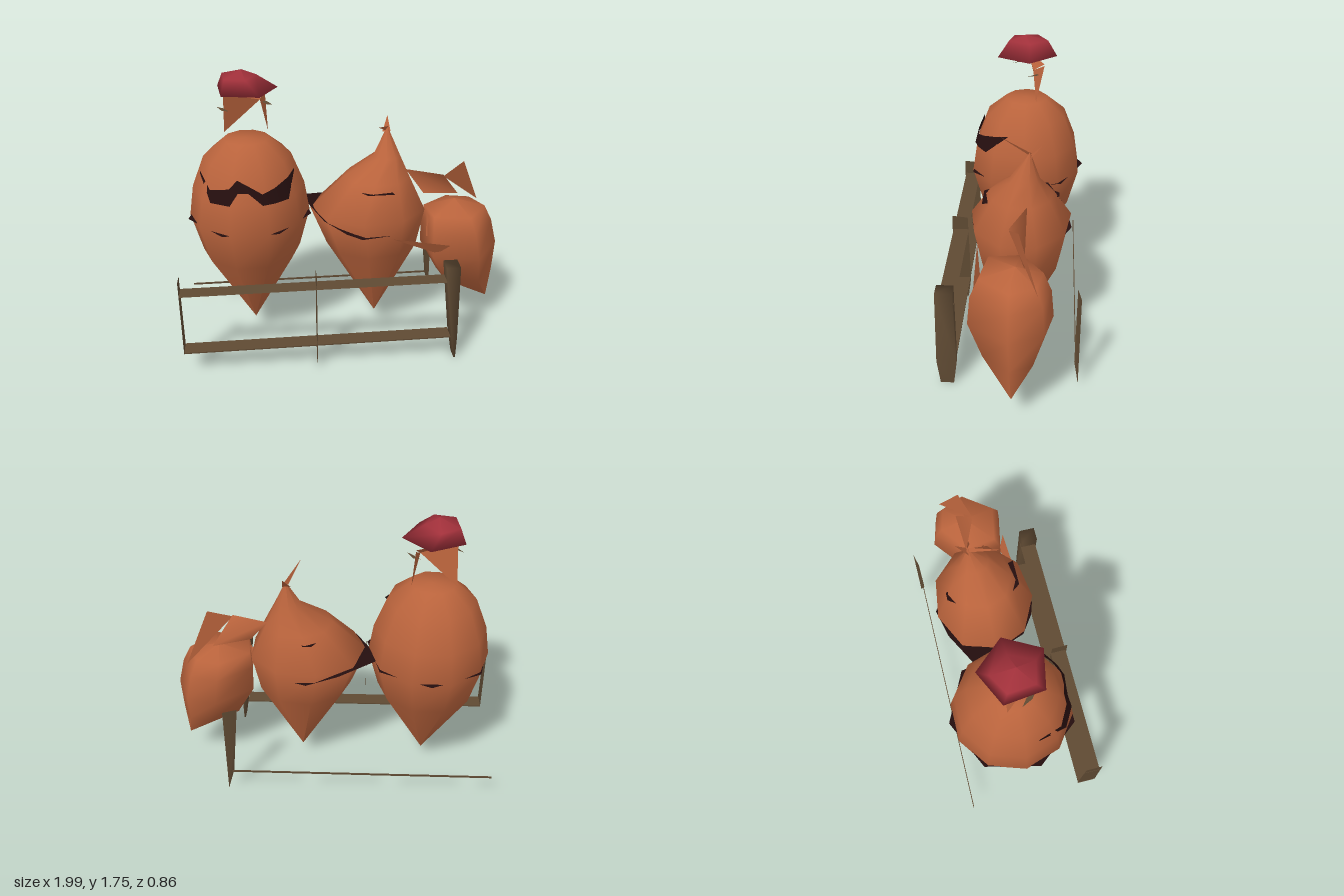
import * as THREE from 'three';

const mat = (name, color) => {
  const m = new THREE.MeshStandardMaterial({ color, side: THREE.DoubleSide });
  m.name = name;
  return m;
};

// Unit outline with n corners
const regular = (n, turn = 0) => Array.from({ length: n }, (_, j) => {
  const t = (j / n) * Math.PI * 2 + turn;
  return [Math.cos(t), Math.sin(t)];
});

export function createModel() {
  const model = new THREE.Group();
  const orange = mat('orange feathers', 0xb9633c);
  const dark = mat('dark trim', 0x240e0e);
  const wood = mat('wood', 0x5f4a33);
  const red = mat('red hat', 0xa0303a);

  const add = (parent, name, pos, index, material) => {
    const g = new THREE.BufferGeometry();
    g.setAttribute('position', new THREE.Float32BufferAttribute(pos, 3));
    g.setIndex(index);
    g.computeVertexNormals();
    const mesh = new THREE.Mesh(g, material);
    mesh.name = name;
    parent.add(mesh);
  };

  // Smooth closed form: an outline scaled along rows [y, cx, cz, rx, rz], bottom to top
  const loft = (parent, name, rows, outline, material) => {
    const pos = [], index = [], n = outline.length;
    rows.forEach(([y, cx, cz, rx, rz], i) => {
      outline.forEach(([ox, oz], j) => {
        pos.push(cx + rx * ox, y, cz + rz * oz);
        if (i === rows.length - 1) return;
        const a = i * n + j, b = i * n + (j + 1) % n;
        index.push(a, a + n, b, b, a + n, b + n);
      });
    });
    add(parent, name, pos, index, material);
  };

  // Thin sheet: convex outline of [x, y, z] points, fanned from the first
  const sheet = (parent, name, pts, material) => {
    const index = [];
    for (let i = 1; i < pts.length - 1; i++) index.push(0, i, i + 1);
    add(parent, name, pts.flat(), index, material);
  };

  const group = (name) => {
    const g = new THREE.Group();
    g.name = name;
    model.add(g);
    return g;
  };

  // Bird with the hat
  const first = group('hatBird');
  const profile = [[0.1, 0], [0.62, 0.3], [0.86, 0.365], [1.05, 0.335], [1.24, 0.26], [1.345, 0.135]];
  loft(first, 'body', [...profile.map(([y, r]) => [y, -0.57, -0.055, r, r]),
    [1.347, -0.57, -0.055, 0, 0]], regular(10), orange);
  const radiusAt = (y) => {
    const i = profile.findIndex((p) => p[0] >= y);
    const [y0, r0] = profile[i - 1], [y1, r1] = profile[i];
    return r0 + (r1 - r0) * (y - y0) / (y1 - y0);
  };

  // Zigzag face stripe wrapped on the front: columns of [x, low y, high y]
  const stripe = [[-0.85, 1.17, 1.18], [-0.79, 1.05, 1.115], [-0.68, 1.05, 1.14], [-0.63, 1.12, 1.19],
    [-0.57, 1.12, 1.16], [-0.49, 1.05, 1.11], [-0.42, 1.05, 1.13], [-0.34, 1.05, 1.16], [-0.3, 1.17, 1.18]];
  const sPos = [], sIdx = [];
  stripe.forEach(([x, lo, hi], i) => {
    for (const y of [lo, hi]) {
      const r = radiusAt(y) + 0.006, dx = x + 0.57;
      sPos.push(x, y, -0.055 + Math.sqrt(Math.max(0, r * r - dx * dx)));
    }
    if (i) sIdx.push(2 * i - 2, 2 * i, 2 * i - 1, 2 * i - 1, 2 * i, 2 * i + 1);
  });
  add(first, 'faceStripe', sPos, sIdx, dark);

  // Level dark disc showing at the waist
  sheet(first, 'waistDisc', regular(7, -Math.PI / 2).map(([x, z]) =>
    [-0.57 + 0.38 * x, 0.87, -0.055 + 0.38 * z]), dark);

  // Open crest panels under the hat
  sheet(first, 'crestPanel', [[-0.7, 1.36, -0.12], [-0.48, 1.56, -0.1], [-0.69, 1.61, -0.06]], orange);
  sheet(first, 'crestTop', [[-0.69, 1.61, -0.06], [-0.48, 1.56, -0.1], [-0.45, 1.61, -0.17]], orange);
  sheet(first, 'crestSide', [[-0.44, 1.36, -0.12], [-0.45, 1.6, -0.17], [-0.48, 1.56, -0.1]], orange);
  sheet(first, 'crestShardLeft', [[-0.48, 1.54, -0.14], [-0.44, 1.54, -0.13], [-0.41, 1.54, -0.06], [-0.44, 1.535, -0.08]], wood);
  sheet(first, 'crestShardRight', [[-0.73, 1.54, -0.05], [-0.69, 1.54, -0.02], [-0.66, 1.54, 0.04], [-0.7, 1.535, 0.01]], wood);

  // Faceted cap
  loft(first, 'hat', [[1.645, -0.56, -0.055, 0, 0], [1.64, -0.56, -0.055, 0.187, 0.195],
    [1.72, -0.6, -0.06, 0.105, 0.13], [1.755, -0.58, -0.05, 0, 0]], regular(5, -0.12), red);

  // Middle bird
  const second = group('middleBird');
  loft(second, 'body', [[0.1, 0.21, -0.05, 0, 0], [0.62, 0.185, -0.055, 0.285, 0.25],
    [0.87, 0.16, -0.055, 0.36, 0.305], [1.07, 0.215, -0.06, 0.205, 0.19],
    [1.19, 0.275, -0.08, 0.085, 0.09], [1.365, 0.28, -0.11, 0, 0]], regular(9, Math.PI), orange);
  sheet(second, 'crestSpikeFront', [[0.265, 1.34, -0.1], [0.29, 1.36, -0.12], [0.2, 1.42, 0.07]], orange);
  sheet(second, 'crestSpikeBack', [[0.25, 1.33, -0.11], [0.3, 1.33, -0.11], [0.29, 1.41, -0.18]], orange);
  sheet(second, 'waistDisc', [[-0.21, 0.89, -0.06], [-0.25, 0.89, -0.21], [-0.03, 0.85, -0.32],
    [0.16, 0.81, -0.36], [0.4, 0.77, -0.22], [0.28, 0.775, 0.2], [0.09, 0.78, 0.245],
    [0, 0.805, 0.215], [-0.13, 0.86, 0.13]], dark);
  sheet(second, 'shoulderDisc', [[-0.03, 1.03, -0.05], [0.13, 1.03, -0.28], [0.18, 1.03, -0.28],
    [0.29, 1.03, 0.165], [0.13, 1.03, 0.165]], dark);

  // Small leaning bird with a lopsided cross-section
  const third = group('leaningBird');
  const lopsided = [[1, 0], [0.3, 0.97], [-0.85, 0.75], [-1, -0.3], [-0.1, -1], [0.65, -0.8]];
  loft(third, 'body', [[0.17, 0.96, -0.04, 0, 0], [0.38, 0.8, -0.03, 0.18, 0.16],
    [0.58, 0.75, -0.025, 0.24, 0.24], [0.74, 0.73, -0.025, 0.22, 0.225],
    [0.84, 0.71, -0.025, 0.19, 0.18], [0.89, 0.71, -0.05, 0, 0]], lopsided, orange);
  sheet(third, 'beak', [[0.28, 0.75, 0.2], [0.57, 0.61, 0.15], [0.64, 0.68, 0.19]], orange);
  sheet(third, 'cheek', [[0.52, 0.67, 0.03], [0.64, 0.74, 0.13], [0.52, 0.83, 0.02]], orange);
  sheet(third, 'wingBridge', [[0.4, 1.08, -0.1], [0.62, 1.07, -0.01], [0.74, 0.9, -0.1], [0.51, 0.93, -0.06]], orange);
  sheet(third, 'tailFin', [[0.62, 1.06, -0.01], [0.76, 1.13, -0.07], [0.89, 0.82, -0.18]], orange);

  // Front fence: flat rails, flat posts and a tapered end post
  const fence = group('fence');
  const rail = (name, geometry, x, y, z) => {
    const mesh = new THREE.Mesh(geometry, wood);
    mesh.name = name;
    mesh.position.set(x, y, z);
    fence.add(mesh);
  };
  rail('lowerRail', new THREE.BoxGeometry(1.62, 0.008, 0.1), -0.19, 0.16, 0.355);
  rail('upperRail', new THREE.PlaneGeometry(1.62, 0.1).rotateX(-Math.PI / 2), -0.19, 0.55, 0.355);
  for (const [x, low] of [[-0.998, 0.15], [-0.2, 0.01]]) {
    sheet(fence, 'flatPost', [[x, low, 0.4], [x, low, 0.32], [x, 0.16, 0.3],
      [x, 0.64, 0.31], [x, 0.65, 0.41], [x, 0.16, 0.42]], wood);
  }
  const ring = (y, x0, x1, z0, z1) => [x0, y, z0, x0, y, z1, x1, y, z1, x1, y, z0];
  const sides = [3, 2, 1, 3, 1, 0, 8, 9, 10, 8, 10, 11];
  for (const r of [0, 4]) {
    for (let j = 0; j < 4; j++) {
      const a = r + j, b = r + (j + 1) % 4;
      sides.push(a, b, a + 4, b, b + 4, a + 4);
    }
  }
  add(fence, 'endPost', [...ring(0, 0.65, 0.66, 0.32, 0.4), ...ring(0.16, 0.625, 0.658, 0.3, 0.42),
    ...ring(0.65, 0.57, 0.655, 0.31, 0.41)], sides, wood);

  // Back fence: one tapered post and a very thin rail
  sheet(fence, 'backPost', [[0.57, 0.65, -0.4], [0.62, 0.16, -0.395], [0.658, 0.03, -0.42], [0.655, 0.64, -0.42]], wood);
  rail('backRail', new THREE.BoxGeometry(1.62, 0.012, 0.005), -0.18, 0.16, -0.403);

  return model;
}
